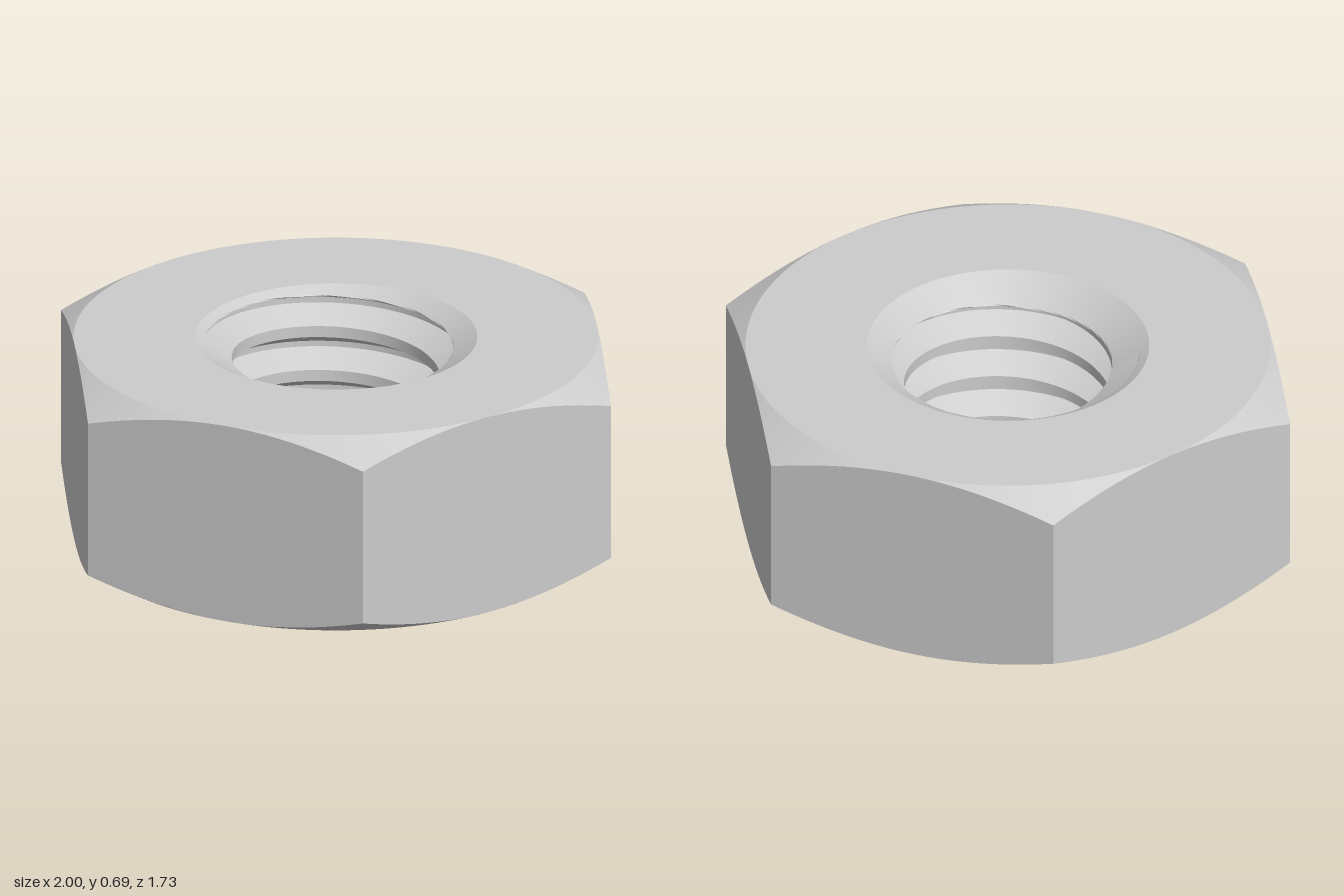
import * as THREE from 'three';
import { toCreasedNormals } from 'three/addons/utils/BufferGeometryUtils.js';

const H = 0.695;            // nut height
const FLAT = 0.866;         // centre to flat
const SLOPE = Math.tan(Math.PI / 6); // chamfer and countersink slope
const SINK = 0.466;         // countersink rim radius
const MINOR = 0.343, MAJOR = 0.433, PITCH = 0.156;
const SEGS = 120;

// Surface swept around the y axis; point(row, angle) returns [radius, y].
function sweep(rows, point) {
  const at = (i, j) => {
    const a = (i % SEGS) / SEGS * Math.PI * 2;
    const [r, y] = point(j, i / SEGS * Math.PI * 2);
    return new THREE.Vector3(r * Math.cos(a), y, -r * Math.sin(a));
  };
  const pos = [];
  const tri = (a, b, c) => {
    const e = 1e-7;
    if (a.distanceTo(b) < e || b.distanceTo(c) < e || c.distanceTo(a) < e) return;
    for (const v of [a, b, c]) pos.push(v.x, v.y, v.z);
  };
  for (let i = 0; i < SEGS; i++) {
    for (let j = 0; j < rows - 1; j++) {
      const a = at(i, j), b = at(i, j + 1), c = at(i + 1, j + 1), d = at(i + 1, j);
      tri(a, b, c);
      tri(a, c, d);
    }
  }
  const g = new THREE.BufferGeometry();
  g.setAttribute('position', new THREE.Float32BufferAttribute(pos, 3));
  return toCreasedNormals(g, 0.25);
}

// Hexagon with both ends cut by a 30 degree cone
function hexBody() {
  return sweep(6, (j, angle) => {
    const sector = Math.PI / 3;
    const r = FLAT / Math.cos((angle % sector) - sector / 2);
    const drop = Math.max(0, (r - FLAT) * SLOPE);
    return [[SINK, H], [FLAT, H], [r, H - drop], [r, drop], [FLAT, 0], [SINK, 0]][j];
  });
}

// Thread radius at a fraction of the pitch: flank, crest, flank, root
function threadRadius(t) {
  const u = t - Math.floor(t);
  const depth = MAJOR - MINOR, flank = 5 / 16;
  if (u < flank) return MAJOR - depth * u / flank;
  if (u < 9 / 16) return MINOR;
  if (u < 7 / 8) return MINOR + depth * (u - 9 / 16) / flank;
  return MAJOR;
}

// Right-handed threaded bore, opened by a countersink at each end
function threadedBore() {
  const perTurn = 32, first = -5 * perTurn, last = perTurn;
  const startAngle = 157 * Math.PI / 180, startY = 0.6765;
  return sweep(last - first + 1, (j, angle) => {
    const rootY = startY + PITCH * (angle - startAngle) / (Math.PI * 2);
    const y = THREE.MathUtils.clamp(rootY + PITCH * (first + j) / perTurn, 0, H);
    const cone = SINK - Math.min(y, H - y) / SLOPE;
    return [Math.max(cone, threadRadius((y - rootY) / PITCH)), y];
  });
}

export function createModel() {
  const group = new THREE.Group();
  group.name = 'hexNut';
  const material = new THREE.MeshStandardMaterial({ color: 0xcccccc });
  const add = (name, geometry) => {
    const mesh = new THREE.Mesh(geometry, material);
    mesh.name = name;
    group.add(mesh);
  };
  add('hexBody', hexBody());
  add('threadedBore', threadedBore());
  return group;
}
